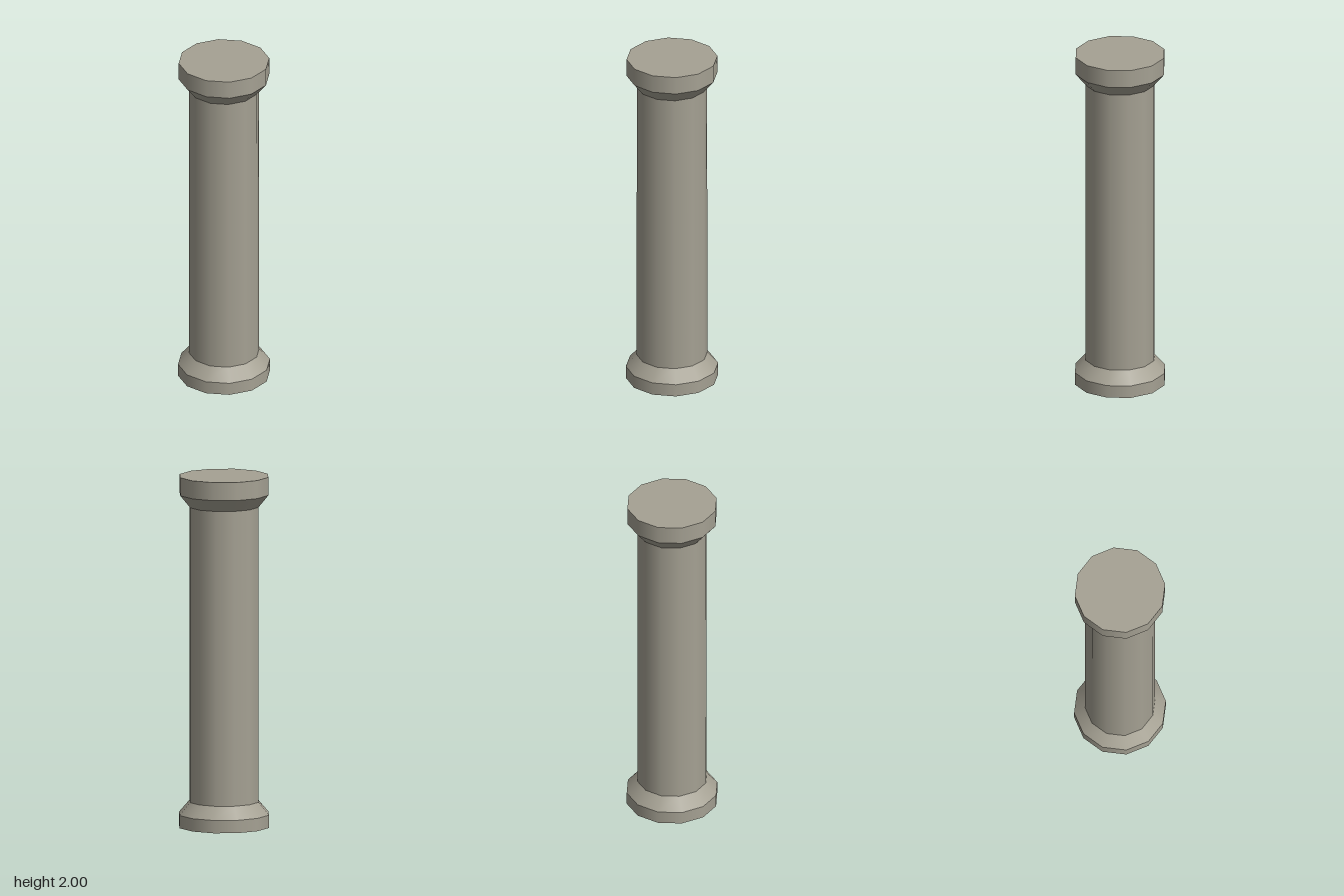
import * as THREE from 'three';

const SIDES = 12;

export function createModel() {
  const model = new THREE.Group();
  model.name = 'column';
  const stone = new THREE.MeshStandardMaterial({ color: 0xa5a193 });
  stone.name = 'stone';

  // One twelve-sided section between two heights, smooth around its side
  function section(name, y0, y1, r0, r1, open) {
    const geometry = new THREE.CylinderGeometry(r1, r0, y1 - y0, SIDES, 1, open);
    const mesh = new THREE.Mesh(geometry, stone);
    mesh.name = name;
    mesh.position.y = (y0 + y1) / 2;
    model.add(mesh);
  }

  // Base: flat plinth with a bevel up to the shaft
  section('plinth', 0, 0.073, 0.261, 0.261, false);
  section('baseBevel', 0.073, 0.144, 0.261, 0.2, true);

  // Shaft
  section('shaft', 0.144, 1.826, 0.2, 0.199, true);

  // Capital: bevel out to a thicker block
  section('capitalBevel', 1.826, 1.897, 0.199, 0.257, true);
  section('capitalBlock', 1.897, 2, 0.257, 0.257, false);

  return model;
}
